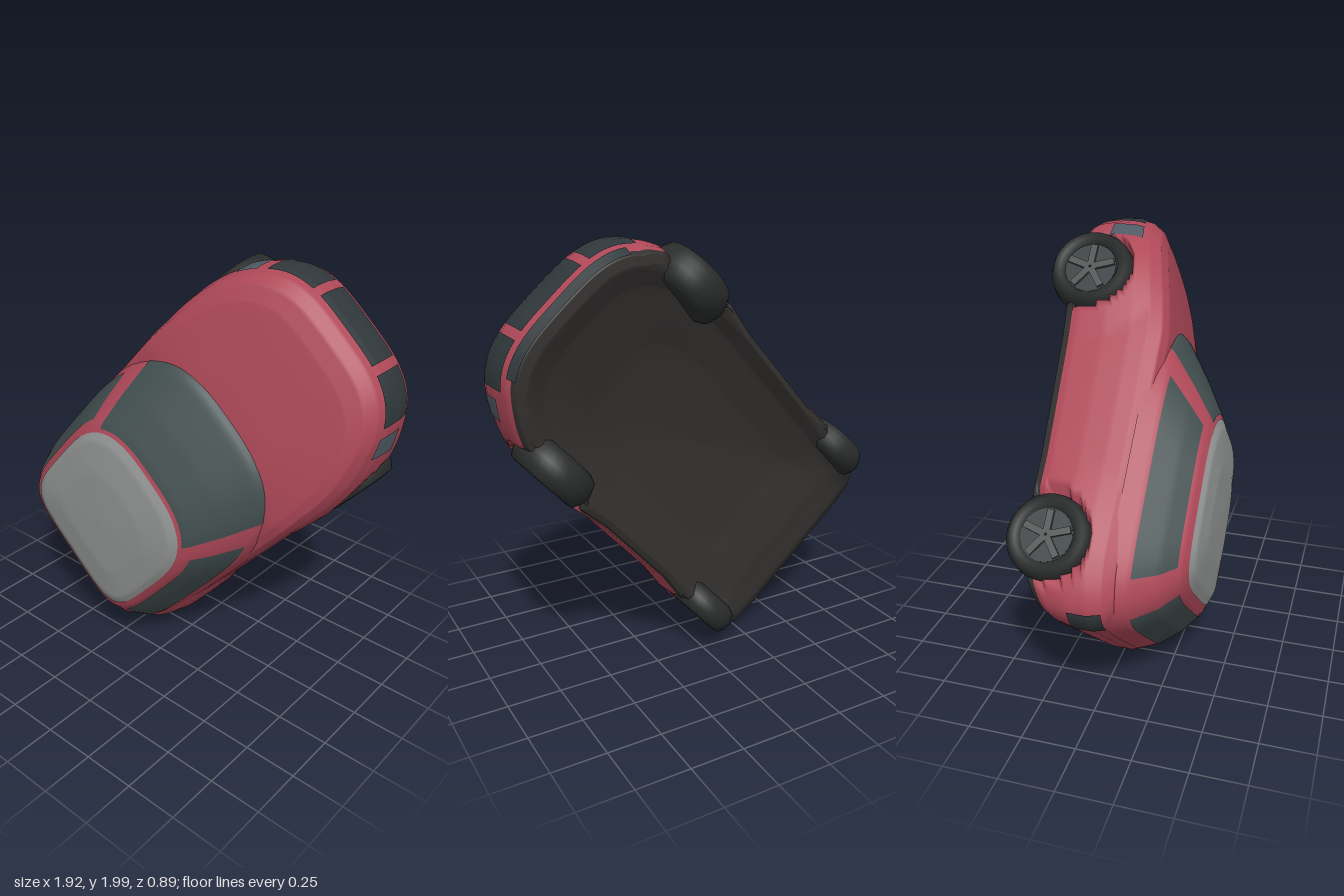
import * as THREE from 'three';
import { mergeVertices } from 'three/addons/utils/BufferGeometryUtils.js';

const mat = (color) => new THREE.MeshStandardMaterial({ color });
const RED = mat(0xae4858), DARK = mat(0x2f373a), GLASS = mat(0x414d4e), ROOF = mat(0x929594);
const TYRE = mat(0x2a2c2c), HUB = mat(0x4a4e4c), FLOOR = mat(0x322f2e), LAMP = mat(0x505b66);
const RAD = Math.PI / 180;

// Wheels: forward, up and right position, radius, half width
const WHEELS = [
  { name: 'frontRightWheel', u: 0.54, y: -0.24, v: 0.495, r: 0.195, w: 0.08 },
  { name: 'frontLeftWheel', u: 0.65, y: -0.25, v: -0.455, r: 0.195, w: 0.085 },
  { name: 'rearRightWheel', u: -0.61, y: -0.17, v: 0.505, r: 0.183, w: 0.068 },
  { name: 'rearLeftWheel', u: -0.6, y: -0.165, v: -0.505, r: 0.185, w: 0.068 },
];

// Plan outline: superellipse, rounder at the front (nf) than at the rear (nr)
function outline(theta, front, rear, half, nf, nr) {
  const c = Math.cos(theta), s = Math.sin(theta), n = c > 0 ? nf : nr;
  const r = (Math.abs(c) ** n + Math.abs(s) ** n) ** (-1 / n);
  return [r * c * (c > 0 ? front : rear), r * s * half];
}

// Linear lookup in a table of levels
function level(rows, t) {
  const i = Math.min(Math.floor(t), rows.length - 2), k = t - i;
  return rows[i].map((a, j) => a + (rows[i + 1][j] - a) * k);
}

// Lower body, [scale of outline, height from sill (0) to shoulder (1)]
const BODY = [[0, 0.3], [0.5, 0.24], [0.8, 0.11], [0.9, 0], [0.95, 0.02], [0.98, 0.15], [1, 0.42],
  [1, 0.66], [0.985, 0.83], [0.945, 0.95], [0.87, 1], [0.5, 1.05], [0, 1.07]];
function bodySurface(theta, t) {
  const [s, h] = level(BODY, t);
  const [a, half] = outline(theta, 0.98, 1.035, 0.55, 3.4, 9);
  const u = 0.1 + a * s;
  const bottom = -0.3 - 0.05 * u + 0.4 * Math.max(0, -0.7 - u);
  const top = 0.165 - 0.19 * (Math.max(0, u - 0.35) / 0.75) ** 1.25;
  const y = bottom + (top - bottom) * h;
  let v = half * s + 0.008;
  // Wheel arches: sunk behind each wheel, flared around it
  for (const w of WHEELS) {
    if (t < 3 || t > 9 || v * w.v <= 0) continue;
    const d = Math.hypot(u - w.u, y - w.y) - w.r, side = Math.sign(v);
    if (d < 0) v = side * Math.min(Math.abs(v), Math.abs(w.v));
    else if (Math.abs(half) > 0.4) v += side * 0.022 * Math.max(0, 1 - d / 0.17);
  }
  return [u, y, v];
}

// Cabin, [height, front end, rear end, half width]
const CABIN = [[0.11, 0.55, -0.93, 0.54], [0.19, 0.48, -0.9, 0.52], [0.3, 0.31, -0.82, 0.46],
  [0.38, 0.17, -0.73, 0.405], [0.42, 0.08, -0.64, 0.35], [0.44, -0.07, -0.5, 0.23], [0.445, -0.28, -0.28, 0]];
function cabinSurface(theta, t) {
  const [y, f, r, half] = level(CABIN, t);
  const mid = (f + r) / 2;
  const [a, v] = outline(theta, f - mid, mid - r, half, 3, 5);
  return [mid + a, y, v + 0.008];
}

// Piece of a surface between two angles and two levels, lifted along its normals
function patch(name, surface, a0, a1, t0, t1, material, lift = 0) {
  const n = Math.max(8, Math.round((a1 - a0) / 1.5)), m = Math.max(4, Math.round((t1 - t0) * 8));
  const pos = [], idx = [];
  for (let j = 0; j <= m; j++) {
    for (let i = 0; i <= n; i++) {
      pos.push(...surface((a0 + (a1 - a0) * i / n) * RAD, t0 + (t1 - t0) * j / m));
      if (i < n && j < m) {
        const a = j * (n + 1) + i, b = a + n + 1;
        idx.push(a, b, a + 1, b, b + 1, a + 1);
      }
    }
  }
  let g = new THREE.BufferGeometry();
  g.setAttribute('position', new THREE.Float32BufferAttribute(pos, 3));
  g.setIndex(idx);
  g = mergeVertices(g, 1e-5);
  g.computeVertexNormals();
  const p = g.attributes.position, q = g.attributes.normal;
  for (let i = 0; i < p.count; i++) {
    p.setXYZ(i, p.getX(i) + q.getX(i) * lift, p.getY(i) + q.getY(i) * lift, p.getZ(i) + q.getZ(i) * lift);
  }
  const mesh = new THREE.Mesh(g, material);
  mesh.name = name;
  return mesh;
}

// Wheel with rounded tyre, dished hub and spokes
function wheel({ name, u, y, v, r, w }) {
  const g = new THREE.Group();
  const profile = [[0, -0.95], [0.7, -1], [0.9, -0.75], [1, -0.1], [0.97, 0.45], [0.86, 0.95], [0.7, 1], [0.6, 0.6]]
    .map(([a, b]) => new THREE.Vector2(a * r, b * w));
  const tyre = new THREE.Mesh(new THREE.LatheGeometry(profile, 40), TYRE);
  tyre.name = 'tyre';
  const disc = new THREE.Mesh(new THREE.CylinderGeometry(r * 0.61, r * 0.61, 0.02, 32), DARK);
  disc.position.y = w * 0.6 - 0.005;
  disc.name = 'hubDisc';
  g.add(tyre, disc);
  for (let i = 0; i < 5; i++) {
    const spoke = new THREE.Mesh(new THREE.BoxGeometry(r * 0.55, 0.02, r * 0.16), HUB);
    const a = i * Math.PI * 2 / 5;
    spoke.position.set(Math.cos(a) * r * 0.3, w * 0.6 + 0.008, -Math.sin(a) * r * 0.3);
    spoke.rotation.y = a;
    spoke.name = 'spoke';
    g.add(spoke);
  }
  g.rotation.x = Math.sign(v) * Math.PI / 2;
  g.position.set(u, y, v);
  g.name = name;
  return g;
}

export function createModel() {
  // Car space: x forward, y up, z to the right
  const car = new THREE.Group();
  car.name = 'car';
  car.add(
    patch('floor', bodySurface, 0, 360, 0, 4.5, FLOOR),
    patch('body', bodySurface, 0, 360, 4.5, 12, RED),
    patch('cabin', cabinSurface, 0, 360, 0, 6, RED),
    patch('roof', cabinSurface, 0, 360, 3.5, 6, ROOF, 0.003),
    patch('windshield', cabinSurface, -48, 48, 0.6, 3.3, GLASS, 0.003),
    patch('rearWindow', cabinSurface, 143, 217, 1.1, 2.9, GLASS, 0.003),
    patch('grille', bodySurface, -18, 18, 5.3, 7.5, DARK, 0.005),
    patch('frontBumper', bodySurface, -35, 35, 4, 4.9, DARK, 0.006),
    ...WHEELS.map(wheel),
  );

  // Mirrored windows and lamps
  for (const side of [1, -1]) {
    const add = (name, surface, a0, a1, ...rest) =>
      car.add(patch((side > 0 ? 'right' : 'left') + name, surface, side > 0 ? a0 : -a1, side > 0 ? a1 : -a0, ...rest));
    add('SideWindow', cabinSurface, 58, 128, 1.1, 2.8, GLASS, 0.003);
    add('Headlight', bodySurface, 22, 40, 5.3, 7.5, DARK, 0.005);
    add('Indicator', bodySurface, 43, 49, 5.8, 7.5, LAMP, 0.005);
    add('TailLight', bodySurface, 137, 146, 6, 8, DARK, 0.005);
  }

  // Stand the car up with its roof facing the front and its nose turned up
  const a = 48 * RAD;
  car.quaternion.setFromRotationMatrix(new THREE.Matrix4().makeBasis(
    new THREE.Vector3(Math.cos(a), Math.sin(a), 0),
    new THREE.Vector3(0, 0, 1),
    new THREE.Vector3(Math.sin(a), -Math.cos(a), 0)));
  car.position.set(0, 1, 0);

  const model = new THREE.Group();
  model.add(car);
  return model;
}
